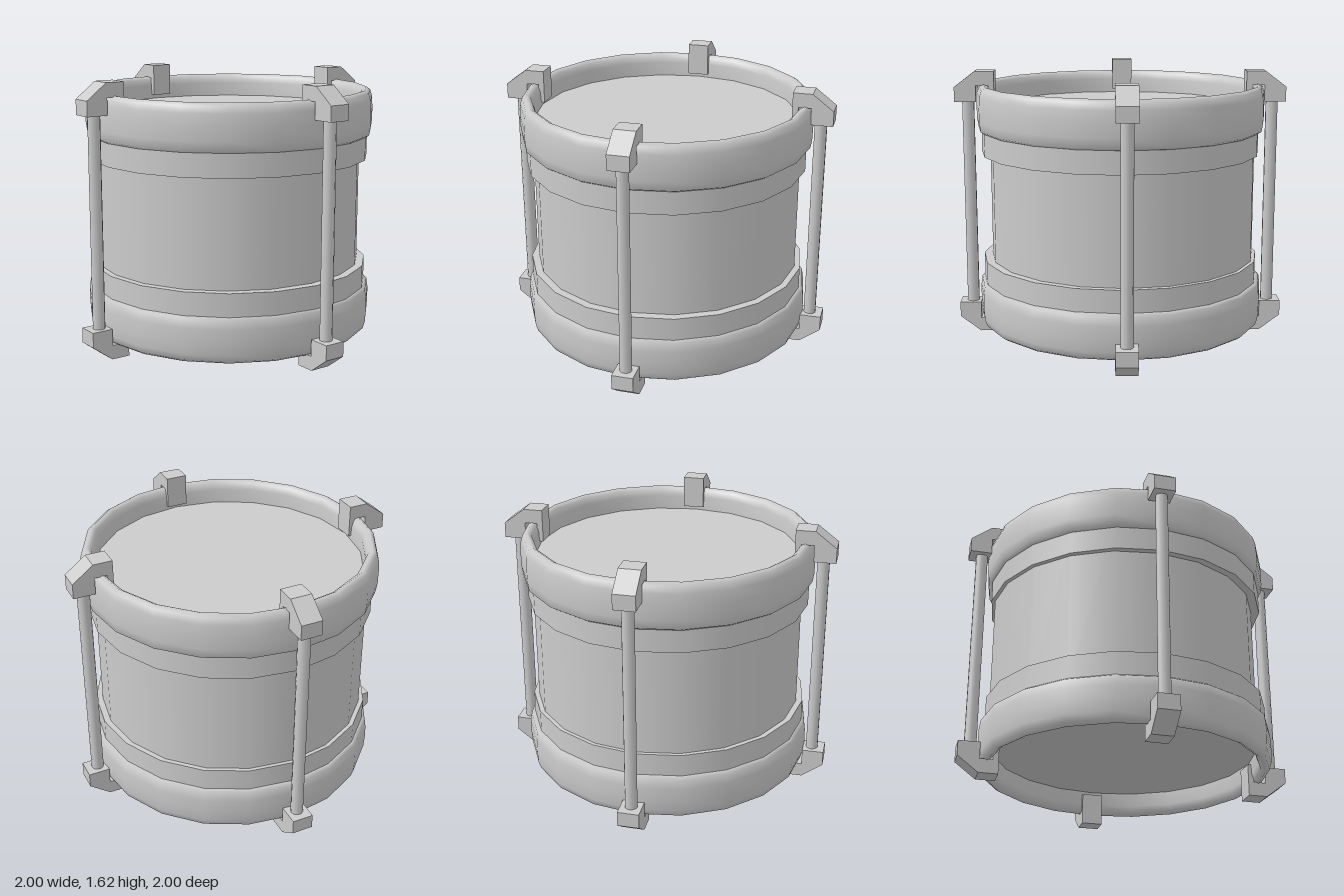
import * as THREE from 'three';

const HEIGHT = 1.625; // overall height; the lower half mirrors the upper
const SIDES = 20;

export function createModel() {
  const drum = new THREE.Group();
  drum.name = 'drum';
  const grey = new THREE.MeshStandardMaterial({ color: 0xcccccc });

  const add = (parent, name, geometry, x = 0, y = 0, z = 0) => {
    const mesh = new THREE.Mesh(geometry, grey);
    mesh.name = name;
    mesh.position.set(x, y, z);
    parent.add(mesh);
    return mesh;
  };
  // Either keeps a height or mirrors it to the lower half
  const level = (y, upper) => (upper ? y : HEIGHT - y);

  // Shell
  add(drum, 'shell', new THREE.CylinderGeometry(0.81, 0.81, 0.9, SIDES, 1, true), 0.003, HEIGHT / 2, -0.015);

  // Rounded hoop cross-section (radius, height), outer side going up, inner side going down
  const hoopProfile = [
    [0.79, 1.275], [0.845, 1.27], [0.868, 1.285], [0.876, 1.34], [0.877, 1.42], [0.872, 1.49],
    [0.86, 1.53], [0.835, 1.547], [0.808, 1.53], [0.795, 1.49], [0.79, 1.38], [0.79, 1.275],
  ];

  // Hook cross-section (distance from axis, height), gripping the hoop
  const hookProfile = [
    [1, 1.44], [1, 1.53], [0.875, 1.625], [0.76, 1.625],
    [0.76, 1.43], [0.795, 1.43], [0.795, 1.54], [0.87, 1.54], [0.87, 1.44],
  ];

  for (const upper of [true, false]) {
    const prefix = upper ? 'upper' : 'lower';

    // Hoop, band and drumhead
    const points = hoopProfile.map(([r, y]) => new THREE.Vector2(r, level(y, upper)));
    if (!upper) points.reverse();
    add(drum, prefix + 'Hoop', new THREE.LatheGeometry(points, SIDES), 0.004, 0, -0.003);
    add(drum, prefix + 'Band', new THREE.CylinderGeometry(0.847, 0.847, 0.14, SIDES), 0.002, level(1.205, upper), 0);
    add(drum, prefix + 'Head', new THREE.CylinderGeometry(0.8, 0.8, 0.04, SIDES), 0.003, level(1.385, upper), -0.005);
  }

  // Four tension rods, each with a hook at both ends
  for (let i = 0; i < 4; i++) {
    const tension = new THREE.Group();
    tension.name = 'tensionRod' + (i + 1);
    tension.rotation.y = (i * Math.PI) / 2;
    if (i % 2) tension.position.x = 0.01;
    else tension.position.z = -0.023;
    drum.add(tension);

    add(tension, 'rod', new THREE.CylinderGeometry(0.037, 0.037, 1.27, 10), 0.923, HEIGHT / 2, 0);
    for (const upper of [true, false]) {
      const shape = new THREE.Shape(hookProfile.map(([r, y]) => new THREE.Vector2(r, level(y, upper))));
      const hook = new THREE.ExtrudeGeometry(shape, { depth: 0.128, bevelEnabled: false });
      add(tension, upper ? 'upperHook' : 'lowerHook', hook, 0, 0, -0.064);
    }
  }

  return drum;
}
